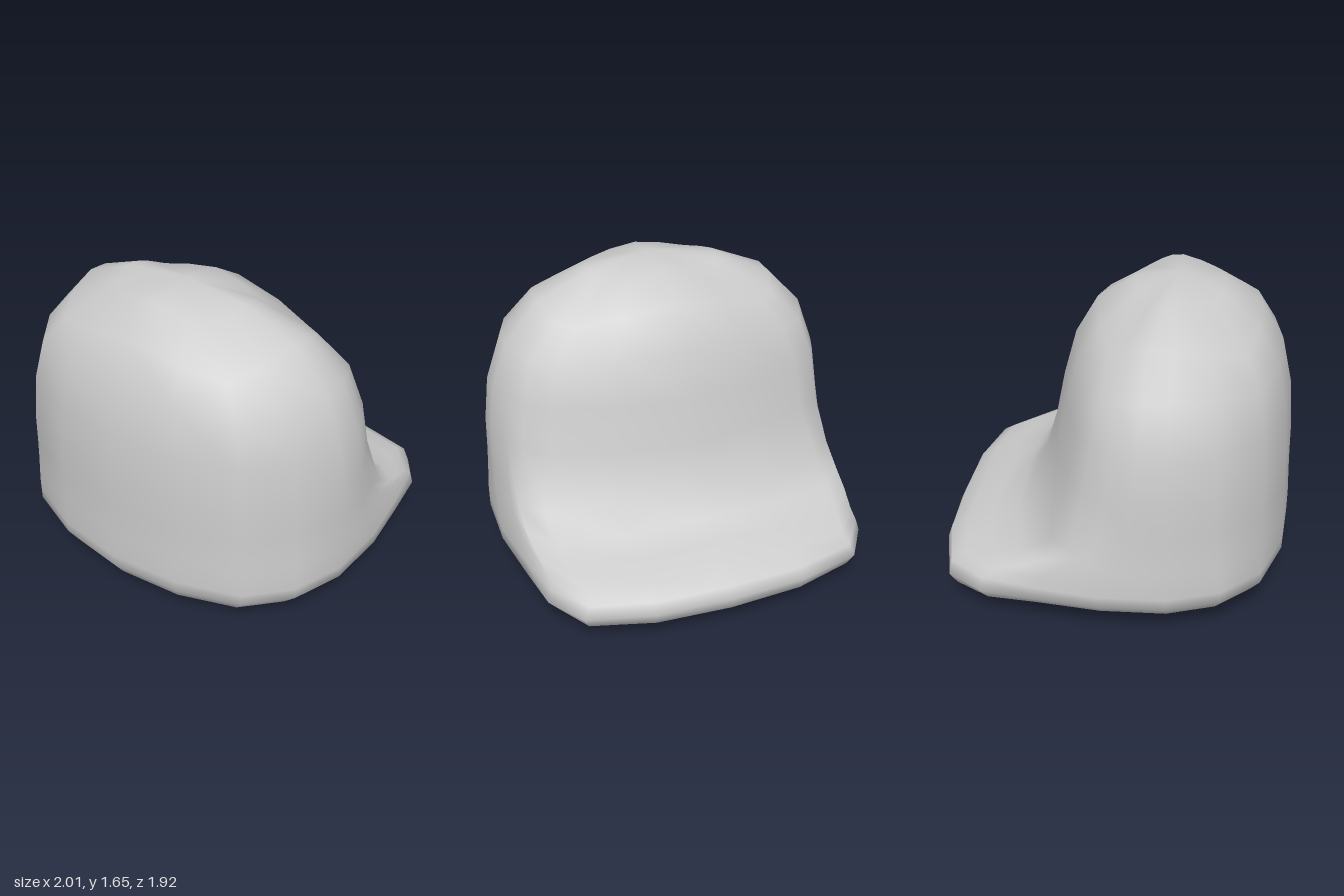
import * as THREE from 'three';

const SEGMENTS = 20;
const AXIS_Z = 0.31; // the crown is centred here
const v = (x, y, z) => new THREE.Vector3(x, y, z);

// Closed ring: the front half follows from the half width, the rear corner and back centre are given.
// drop lowers the rounded corners below the centre lines.
function ring(halfWidth, y, drop, rearCorner, backCentre) {
  const front = v(0, y, AXIS_Z + 0.65 * halfWidth);
  const corner = v(0.72 * halfWidth + 0.4 * drop, y - drop, AXIS_Z + 0.48 * halfWidth + 0.4 * drop);
  const side = v(halfWidth, y, AXIS_Z);
  const rearSide = side.clone().lerp(rearCorner, 0.6);
  rearSide.x = 0.8 * halfWidth + 0.2 * rearCorner.x;
  rearSide.y = THREE.MathUtils.lerp(y, rearCorner.y, 0.4);
  const half = [corner, side, rearSide, rearCorner];
  const mirrored = half.map((p) => v(-p.x, p.y, p.z)).reverse();
  const curve = new THREE.CatmullRomCurve3([front, ...half, backCentre, ...mirrored], true, 'catmullrom', 0.5);
  return Array.from({ length: SEGMENTS }, (_, j) => curve.getPoint(j / SEGMENTS));
}

// Crown: half width, height, corner drop, back z
const crown = [
  [0.37, 1.61, 0.04, 0.07],
  [0.67, 1.49, 0.09, -0.13],
  [0.86, 1.285, 0.035, -0.25],
  [0.95, 1.03, 0, -0.32],
  [0.98, 0.78, 0, -0.37],
].map(([w, y, drop, z]) =>
  ring(w, y, drop, v(0.74 * w + 0.4 * drop, y - drop, z + 0.165 * w), v(0, y, z))
);

// Base with rear ledge: half width, height, rear corner, back centre
const base = [
  [0.985, 0.6, [0.81, 0.47, -0.29], [0, 0.56, -0.44]],
  [0.99, 0.49, [0.8, 0.38, -0.45], [0, 0.42, -0.55]],
  [0.995, 0.41, [0.77, 0.33, -0.62], [0, 0.36, -0.68]],
  [1, 0.33, [0.73, 0.29, -0.77], [0, 0.31, -0.82]],
  [1, 0.26, [0.74, 0.25, -0.84], [0, 0.24, -0.93]],
  [1, 0.2, [0.77, 0.18, -0.85], [0, 0.18, -0.96]],
  [0.91, 0.11, [0.74, 0.11, -0.82], [0, 0.11, -0.94]],
  [0.72, 0.055, [0.62, 0.06, -0.76], [0, 0.06, -0.88]],
  [0.4, 0.02, [0.42, 0.025, -0.62], [0, 0.02, -0.7]],
].map(([w, y, corner, back]) => ring(w, y, 0, v(...corner), v(...back)));

// Skin the rings and close both ends with a fan
function loft(rings, top, bottom) {
  const vertices = [...rings.flat(), top, bottom];
  const topId = vertices.length - 2;
  const bottomId = vertices.length - 1;
  const last = (rings.length - 1) * SEGMENTS;
  const index = [];
  for (let j = 0; j < SEGMENTS; j++) {
    const k = (j + 1) % SEGMENTS;
    index.push(topId, j, k, bottomId, last + k, last + j);
    for (let r = 0; r < last; r += SEGMENTS) {
      const s = r + SEGMENTS;
      index.push(r + j, s + j, s + k, r + j, s + k, r + k);
    }
  }
  const geometry = new THREE.BufferGeometry().setFromPoints(vertices);
  geometry.setIndex(index);
  geometry.computeVertexNormals();
  return geometry;
}

export function createModel() {
  const group = new THREE.Group();
  group.name = 'domedBodyWithRearLedge';
  const body = new THREE.Mesh(
    loft([...crown, ...base], v(0, 1.65, AXIS_Z), v(0, 0, -0.1)),
    new THREE.MeshStandardMaterial({ color: 0xcccccc })
  );
  body.name = 'body';
  group.add(body);
  return group;
}
